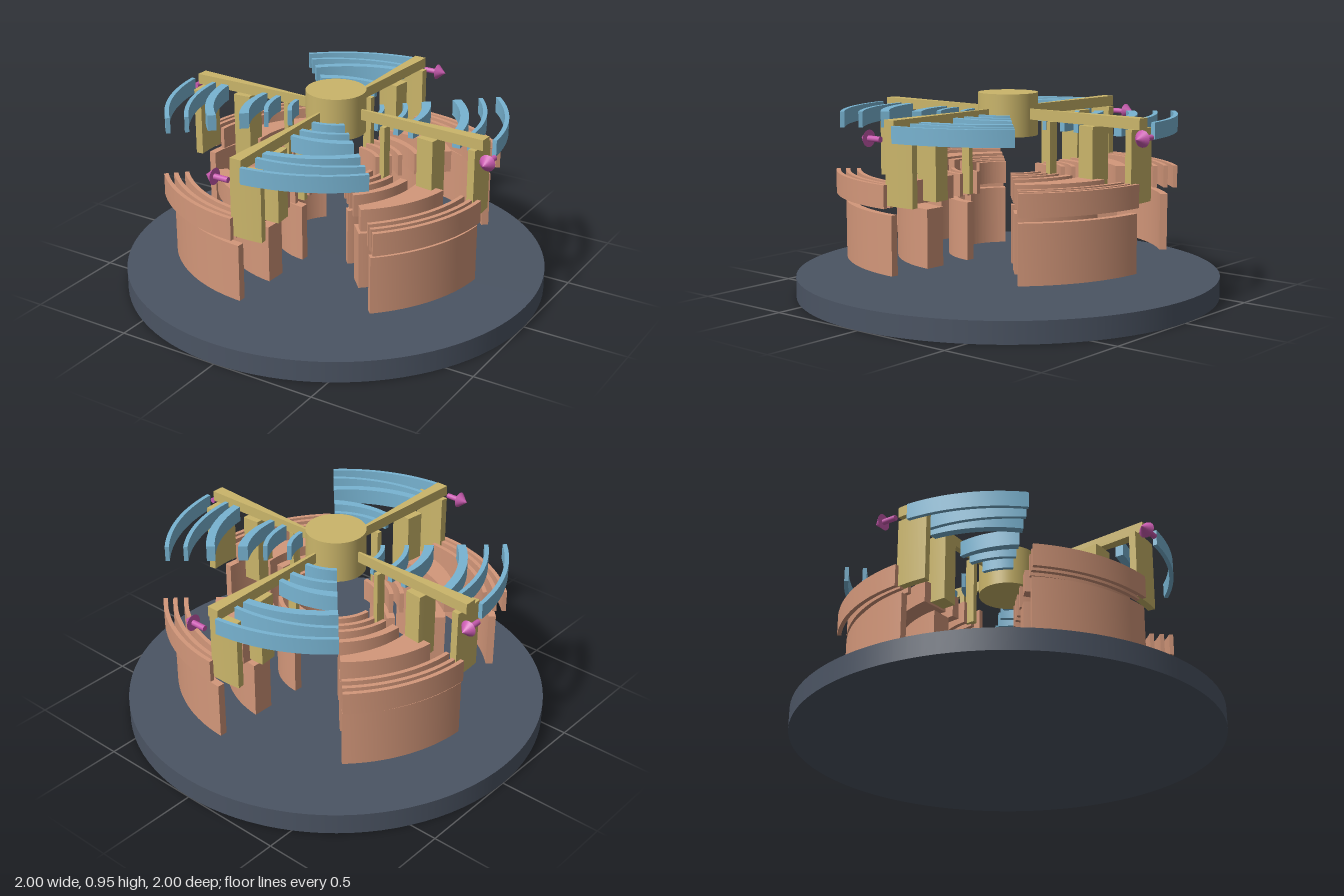
import * as THREE from 'three';
import { toCreasedNormals } from 'three/addons/utils/BufferGeometryUtils.js';

const mat = (name, color) => {
  const m = new THREE.MeshStandardMaterial({ color });
  m.name = name;
  return m;
};
const DEG = Math.PI / 180;

// Curved bar between two angles (degrees from +z towards +x).
// Inner and outer radius run from [in, out] at a0 to [in, out] at a1.
function sector(a0, a1, start, end, y0, y1) {
  const n = Math.max(2, Math.ceil(Math.abs(a1 - a0) / 2));
  const point = (t, k) => {
    const a = (a0 + (a1 - a0) * t) * DEG;
    const r = start[k] + (end[k] - start[k]) * t;
    return new THREE.Vector2(r * Math.sin(a), -r * Math.cos(a));
  };
  const pts = [];
  for (let i = 0; i <= n; i++) pts.push(point(i / n, 1));
  for (let i = n; i >= 0; i--) pts.push(point(i / n, 0));
  const geo = new THREE.ExtrudeGeometry(new THREE.Shape(pts), { depth: y1 - y0, bevelEnabled: false });
  geo.rotateX(-Math.PI / 2).translate(0, y0, 0);
  return toCreasedNormals(geo, 0.5);
}

export function createModel() {
  const slate = mat('slate', 0x4b5463);
  const brass = mat('brass', 0xcab56a);
  const blue = mat('blue', 0x78b4d2);
  const copper = mat('copper', 0xd3977a);
  const magenta = mat('magenta', 0xc95bb0);

  const model = new THREE.Group();
  const add = (parent, name, geo, material) => {
    const m = new THREE.Mesh(geo, material);
    m.name = name;
    parent.add(m);
    return m;
  };

  // Base disc and central hub
  add(model, 'base', new THREE.CylinderGeometry(1, 1, 0.1, 96), slate).position.y = 0.05;
  add(model, 'hub', new THREE.CylinderGeometry(0.14, 0.14, 0.2, 64), brass).position.y = 0.85;

  // Radii at the arm, then at the far end of the sector
  const upperBlades = [
    [[0.79, 0.81], [0.765, 0.785]],
    [[0.67, 0.69], [0.68, 0.7]],
    [[0.595, 0.635], [0.555, 0.595]],
    [[0.375, 0.4], [0.405, 0.45]],
    [[0.3, 0.325], [0.315, 0.335]],
    [[0.2, 0.22], [0.205, 0.225]],
  ];
  const middleBlades = [
    [[0.765, 0.785], [0.785, 0.805]],
    [[0.73, 0.75], [0.74, 0.76]],
    [[0.68, 0.7], [0.69, 0.71]],
    [[0.45, 0.59], [0.51, 0.56]],
    [[0.36, 0.4], [0.38, 0.405]],
    [[0.3, 0.32], [0.3, 0.32]],
    [[0.25, 0.27], [0.25, 0.27]],
    [[0.19, 0.21], [0.19, 0.21]],
  ];
  const lowerWalls = [
    [[0.725, 0.76], [0.725, 0.76]],
    [[0.44, 0.54], [0.42, 0.52]],
    [[0.24, 0.28], [0.24, 0.28]],
  ];
  // Posts: angle range and radii
  const posts = [
    [-5, 7, [0.72, 0.755]],
    [-7.3, 4.5, [0.465, 0.55]],
    [-8, 1.5, [0.26, 0.285]],
  ];

  // Four identical quarters
  for (let q = 0; q < 4; q++) {
    const quarter = new THREE.Group();
    quarter.name = 'quarter';
    quarter.rotation.y = q * Math.PI / 2;
    model.add(quarter);

    add(quarter, 'arm', sector(-3.3, 1, [0.1, 0.78], [0.1, 0.78], 0.83, 0.88), brass);
    for (const [a0, a1, r] of posts) add(quarter, 'post', sector(a0, a1, r, r, 0.5, 0.83), brass);
    for (const [s, e] of upperBlades) add(quarter, 'upperBlade', sector(2, 42, s, e, 0.785, 0.86), blue);
    for (const [s, e] of middleBlades) add(quarter, 'middleBlade', sector(-3.5, -47, s, e, 0.49, 0.595), copper);
    for (const [s, e] of lowerWalls) add(quarter, 'lowerWall', sector(-2, -47, s, e, 0.19, 0.46), copper);

    // Direction arrow at the arm tip
    const arrow = new THREE.Group();
    arrow.name = 'arrow';
    arrow.position.set(-0.02, 0.8, 0.825);
    arrow.rotation.z = Math.PI / 2;
    quarter.add(arrow);
    add(arrow, 'arrowShaft', new THREE.CylinderGeometry(0.013, 0.013, 0.075, 16), magenta).position.y = 0.0375;
    add(arrow, 'arrowHead', new THREE.ConeGeometry(0.038, 0.045, 24), magenta).position.y = 0.0925;
  }
  return model;
}
